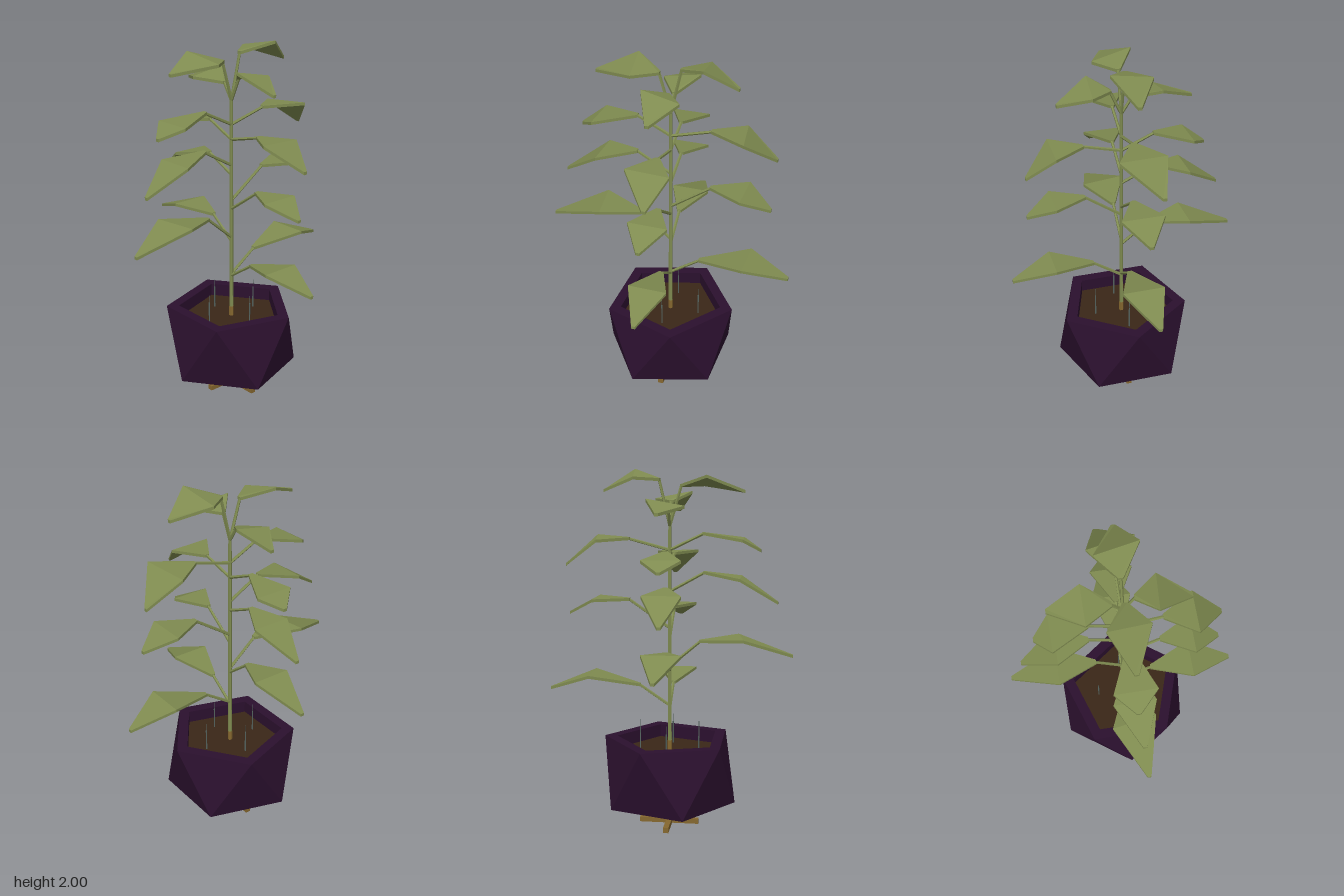
import * as THREE from 'three';

const mat = (color, extra = {}) => new THREE.MeshStandardMaterial({ color, flatShading: true, ...extra });
const green = mat(0x7f8b50);
const potMat = mat(0x2b102e);
const soilMat = mat(0x3a2617);
const wood = mat(0x85672f);
const wire = mat(0x566560);

const V = (x, y, z) => new THREE.Vector3(x, y, z);

function part(parent, name, geometry, material) {
  const mesh = new THREE.Mesh(geometry, material);
  mesh.name = name;
  parent.add(mesh);
  return mesh;
}

// Flat-shaded geometry from quads and triangles given as lists of points
function facesGeometry(faces) {
  const pts = [];
  for (const f of faces)
    for (let i = 1; i < f.length - 1; i++) pts.push(f[0], f[i], f[i + 1]);
  const g = new THREE.BufferGeometry().setFromPoints(pts);
  g.computeVertexNormals();
  return g;
}

// Tapered rod between two points
function rod(parent, name, a, b, rA, rB, material, sides = 6) {
  const mesh = part(parent, name, new THREE.CylinderGeometry(rB, rA, a.distanceTo(b), sides), material);
  mesh.position.copy(a).lerp(b, 0.5);
  mesh.quaternion.setFromUnitVectors(V(0, 1, 0), b.clone().sub(a).normalize());
  return mesh;
}

// Kite-shaped leaf plate, growing along +x and bent at its widest point
function leafGeometry(base, mid, tip, half, dy, skew, tipZ) {
  const t = 0.008;
  const ring = ([r, y], h, lift = 0, dr = 0, z = 0) => [
    V(r - dr, y - lift + t, z - h), V(r + dr, y + lift + t, z + h),
    V(r + dr, y + lift - t, z + h), V(r - dr, y - lift - t, z - h),
  ];
  const rings = [ring(base, 0.012), ring(mid, half, dy, skew), ring(tip, 0.01, 0, 0, tipZ)];
  const faces = [[...rings[0]].reverse(), rings[2]];
  for (let i = 0; i < 2; i++)
    for (let j = 0; j < 4; j++) {
      const k = (j + 1) % 4;
      faces.push([rings[i][j], rings[i][k], rings[i + 1][k], rings[i + 1][j]]);
    }
  return facesGeometry(faces);
}

// Five-sided twisted pot with a shallow pointed underside and a recessed well
function potGeometry() {
  const ring = (r, y, turn = 0) => Array.from({ length: 5 }, (_, k) => {
    const a = (k + turn) * Math.PI * 0.4;
    return V(r * Math.cos(a), y, r * Math.sin(a));
  });
  const top = ring(0.37, 0.505), low = ring(0.37, 0.138, 0.5);
  const inner = ring(0.3, 0.505), floor = ring(0.3, 0.42);
  const apex = V(0, 0.11, 0);
  const faces = [];
  for (let k = 0; k < 5; k++) {
    const n = (k + 1) % 5;
    faces.push(
      [top[k], top[n], low[k]],
      [low[k], top[n], low[n]],
      [low[k], low[n], apex],
      [top[k], inner[k], inner[n], top[n]],
      [inner[k], floor[k], floor[n], inner[n]],
    );
  }
  return facesGeometry(faces);
}

// Leaves per direction: stem height, base [r, y], bend, tip, half width, roll, skew, tip sideways
const LEAVES = {
  left: [0, [
    [0.69, [0.165, 0.805], [0.44, 0.862], [0.675, 0.778], 0.115, 0, 0, -0.02],
    [1.13, [0.222, 1.286], [0.413, 1.288], [0.56, 1.208], 0.115, 0, 0, 0],
    [1.56, [0.222, 1.62], [0.405, 1.62], [0.565, 1.48], 0.13, 0.008, 0.02, -0.06],
    [1.69, [0.053, 1.937], [0.195, 1.967], [0.365, 1.878], 0.115, 0.022, 0.012, 0.01],
  ]],
  right: [Math.PI, [
    [0.915, [0.164, 1.058], [0.395, 1.079], [0.68, 0.98], 0.12, 0, 0.02, -0.035],
    [1.333, [0.185, 1.439], [0.39, 1.408], [0.593, 1.275], 0.11, 0, 0, -0.02],
    [1.56, [0.18, 1.65], [0.402, 1.618], [0.497, 1.56], 0.11, 0, 0, 0],
    [1.69, [0.058, 1.905], [0.195, 1.932], [0.407, 1.875], 0.11, 0.022, 0.015, 0],
  ]],
  front: [-Math.PI / 2, [
    [0.68, [0.16, 0.79], [0.395, 0.832], [0.625, 0.755], 0.108, 0, 0, -0.005],
    [1.08, [0.2, 1.222], [0.38, 1.222], [0.525, 1.148], 0.108, 0, 0, 0],
    [1.476, [0.206, 1.527], [0.375, 1.527], [0.525, 1.4], 0.118, 0.004, 0, -0.035],
    [1.69, [0.055, 1.82], [0.168, 1.848], [0.34, 1.768], 0.105, 0.02, -0.008, 0.01],
  ]],
  back: [Math.PI / 2, [
    [0.89, [0.15, 1.01], [0.365, 1.032], [0.628, 0.94], 0.107, 0, 0, 0.005],
    [1.28, [0.18, 1.365], [0.355, 1.34], [0.55, 1.208], 0.105, 0, 0, -0.015],
    [1.476, [0.175, 1.556], [0.37, 1.524], [0.46, 1.472], 0.105, 0, 0, 0],
    [1.69, [0.053, 1.778], [0.193, 1.813], [0.372, 1.762], 0.103, 0.018, 0, 0.02],
  ]],
};

export function createModel() {
  const model = new THREE.Group();
  model.name = 'pottedPlant';

  // Crossed foot and post
  const foot = new THREE.Group();
  foot.name = 'foot';
  model.add(foot);
  part(foot, 'footBarAcross', new THREE.BoxGeometry(0.335, 0.027, 0.03), wood).position.set(0.003, 0.0185, 0);
  part(foot, 'footBarAlong', new THREE.BoxGeometry(0.03, 0.03, 0.37), wood).position.set(0, 0.019, 0.005);
  part(foot, 'footHub', new THREE.CylinderGeometry(0.018, 0.018, 0.05, 6), wood).position.y = 0.025;
  rod(foot, 'footPost', V(0, 0.04, 0), V(0, 0.13, 0), 0.012, 0.016, wood);

  // Pot and soil
  part(model, 'pot', potGeometry(), potMat);
  const soil = part(model, 'soil', new THREE.CircleGeometry(0.3, 5), soilMat);
  soil.rotation.x = -Math.PI / 2;
  soil.position.y = 0.433;

  // Thin stakes in the soil
  for (const [x, z] of [[0.168, 0], [-0.165, 0], [0, 0.155], [0, -0.147]]) {
    rod(model, 'stake', V(x, 0.43, z), V(x, 0.56, z), 0.004, 0.004, wire, 5);
    rod(model, 'stakeTip', V(x, 0.56, z), V(x, 0.605, z), 0.0018, 0.0018, wire, 4);
  }

  // Main stem
  rod(model, 'stemBase', V(0, 0.43, 0), V(0, 0.49, 0), 0.013, 0.013, wood);
  rod(model, 'stem', V(0, 0.46, 0), V(0, 1.72, 0), 0.012, 0.009, green);

  // Leaves with their stalks
  for (const [side, [turn, leaves]] of Object.entries(LEAVES)) {
    const row = new THREE.Group();
    row.name = `${side}Leaves`;
    row.rotation.y = turn;
    model.add(row);
    for (const [stemY, base, mid, tip, half, dy, skew, tipZ] of leaves) {
      rod(row, 'leafStalk', V(0, stemY, 0), V(base[0] + 0.005, base[1], 0), 0.009, 0.008, green, 5);
      part(row, 'leaf', leafGeometry(base, mid, tip, half, dy, skew, tipZ), green);
    }
  }
  return model;
}
